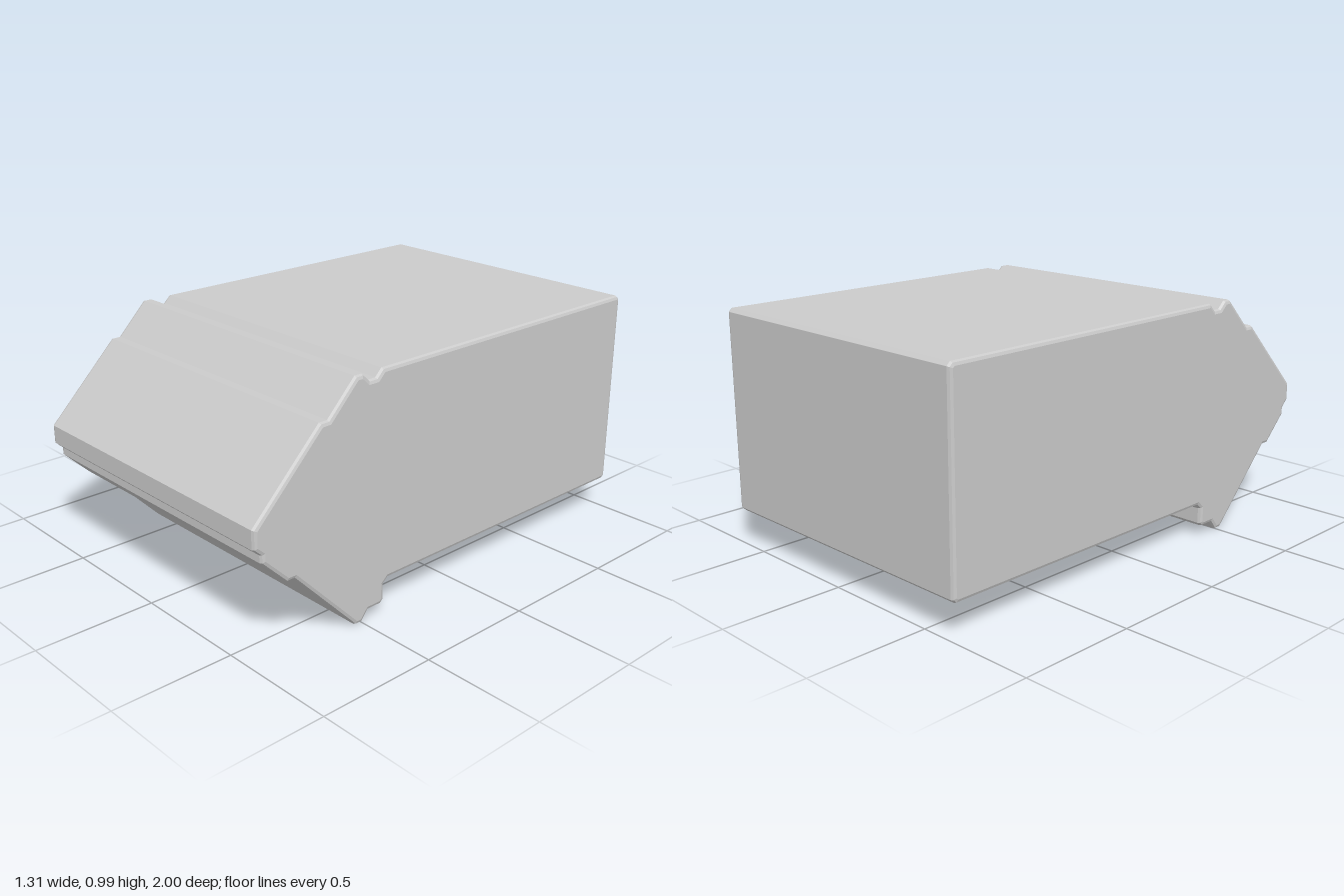
import * as THREE from 'three';

// Side outline as [z, y], running from the back over the top to the nose and underneath
const OUTLINE = [
  [-1, 0.155], [-1, 0.97], [-0.985, 0.985],
  // top groove
  [0.4, 0.985], [0.43, 0.955], [0.465, 0.955], [0.497, 0.985], [0.53, 0.985],
  // stepped upper slope
  [0.658, 0.855], [0.695, 0.855], [1, 0.55],
  // nose and lower slope
  [1, 0.475], [0.968, 0.445], [0.968, 0.415], [0.857, 0.305], [0.823, 0.305], [0.53, 0],
  // bottom lip
  [0.497, 0], [0.465, 0.04], [0.4, 0.04], [0.385, 0.055], [0.385, 0.12], [0.363, 0.14],
  [-0.985, 0.14],
];
const HALF_WIDTH = 0.655;
const BEVEL = 0.015;

export function createModel() {
  const group = new THREE.Group();
  group.name = 'wedgeNosedBlock';

  const shape = new THREE.Shape(OUTLINE.map(([z, y]) => new THREE.Vector2(-z, y)));
  const depth = 2 * (HALF_WIDTH - BEVEL);
  // Bevel shrinks the end caps so the outline keeps its size
  const geometry = new THREE.ExtrudeGeometry(shape, {
    depth,
    bevelEnabled: true,
    bevelThickness: BEVEL,
    bevelSize: BEVEL,
    bevelOffset: -BEVEL,
    bevelSegments: 2,
  });
  geometry.translate(0, 0, -depth / 2);
  geometry.rotateY(Math.PI / 2);

  const body = new THREE.Mesh(geometry, new THREE.MeshStandardMaterial({ color: 0xcccccc }));
  body.name = 'body';
  group.add(body);
  return group;
}
